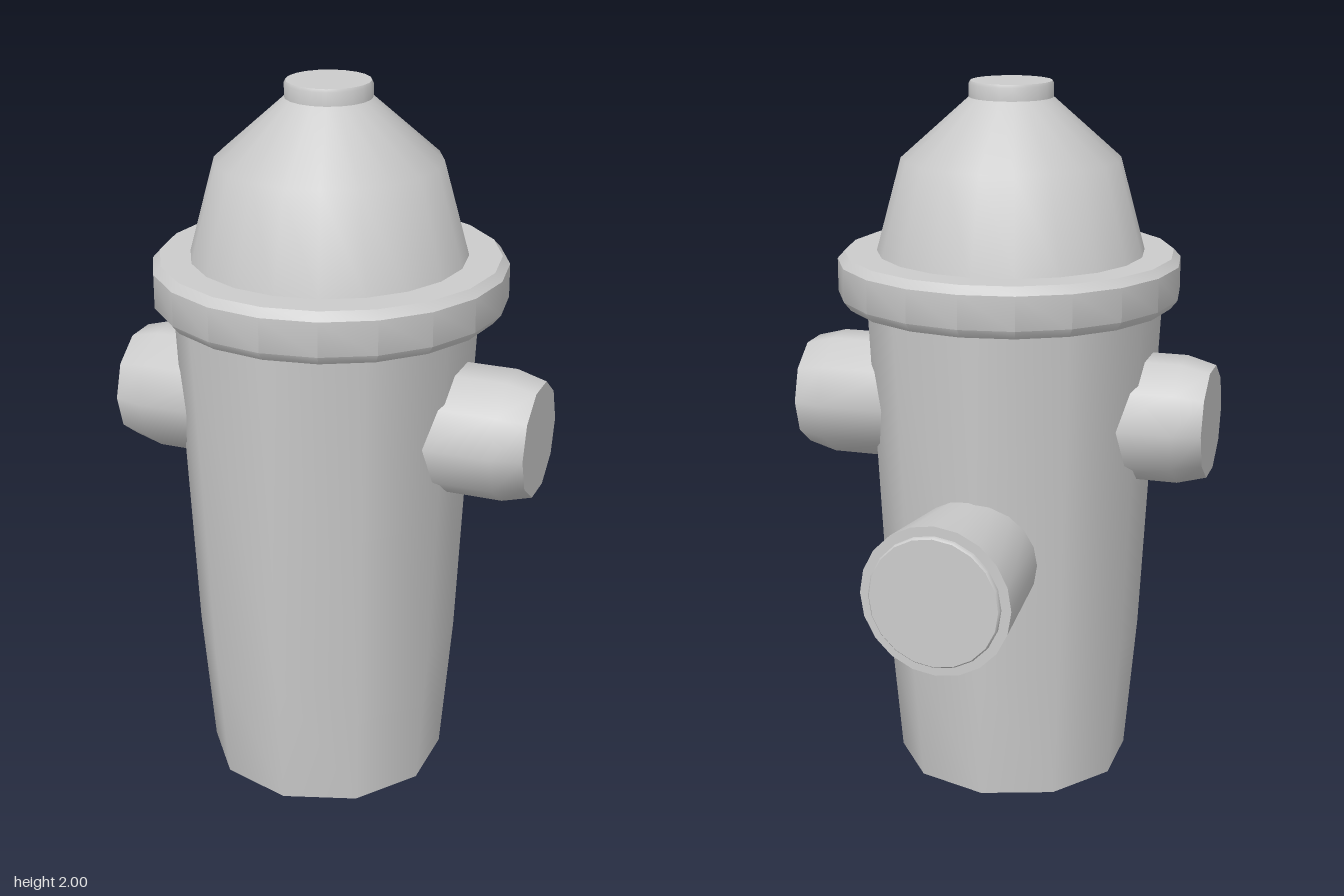
import * as THREE from 'three';
import { toCreasedNormals } from 'three/addons/utils/BufferGeometryUtils.js';

const CX = -0.01; // axis of the hydrant
const CZ = 0.095;

// Turned part: profile of [radius, height] pairs, smooth around and sharp at steep edges
function turned(name, profile, sides, material) {
  const points = profile.map(([r, y]) => new THREE.Vector2(r, y));
  const geometry = toCreasedNormals(new THREE.LatheGeometry(points, sides), 0.7);
  const mesh = new THREE.Mesh(geometry, material);
  mesh.name = name;
  return mesh;
}

export function createModel() {
  const model = new THREE.Group();
  model.name = 'fireHydrant';
  const grey = new THREE.MeshStandardMaterial({ color: 0xcccccc });
  const open = new THREE.MeshStandardMaterial({ color: 0xcccccc, side: THREE.DoubleSide });

  // Hollow tapered barrel, open underneath
  const barrel = turned('barrel', [[0.336, 0], [0.37, 0.4], [0.42, 1.42]], 10, open);
  barrel.position.set(-0.021, 0, 0.098);
  model.add(barrel);

  // Flange with bevelled edges
  const flange = turned('flange', [
    [0, 1.39], [0.462, 1.39], [0.482, 1.415], [0.482, 1.508], [0.462, 1.53], [0, 1.53],
  ], 20, grey);
  flange.position.set(-0.006, 0, CZ);
  model.add(flange);

  // Domed bonnet
  const bonnet = turned('bonnet', [[0.377, 1.525], [0.305, 1.79], [0.11, 1.962]], 20, open);
  bonnet.position.set(CX, 0, CZ);
  model.add(bonnet);

  // Small knob on the bonnet
  const knob = turned('topKnob', [
    [0, 1.95], [0.117, 1.95], [0.117, 1.992], [0.113, 2], [0, 2],
  ], 20, grey);
  knob.position.set(CX, 0, CZ);
  model.add(knob);

  // Side outlets with tapered caps
  for (const side of [1, -1]) {
    const outlet = turned(side > 0 ? 'leftOutlet' : 'rightOutlet', [
      [0.18, 0.3], [0.18, 0.512], [0.158, 0.594], [0, 0.594],
    ], 10, grey);
    outlet.rotation.z = -side * Math.PI / 2;
    outlet.position.set(0, 1.077, CZ);
    model.add(outlet);
  }

  // Large flared outlet at the back, turned very slightly, with a raised end disc
  const backOutlet = new THREE.Group();
  backOutlet.name = 'backOutlet';
  backOutlet.add(
    turned('flaredPipe', [[0.175, 0.2], [0.211, 0.56], [0, 0.56]], 20, grey),
    turned('endDisc', [[0.184, 0.55], [0.184, 0.57], [0.18, 0.575], [0, 0.575]], 20, grey),
  );
  backOutlet.rotation.set(-Math.PI / 2, 0, -0.03);
  backOutlet.position.set(-0.012, 0.723, 0);
  model.add(backOutlet);

  return model;
}
